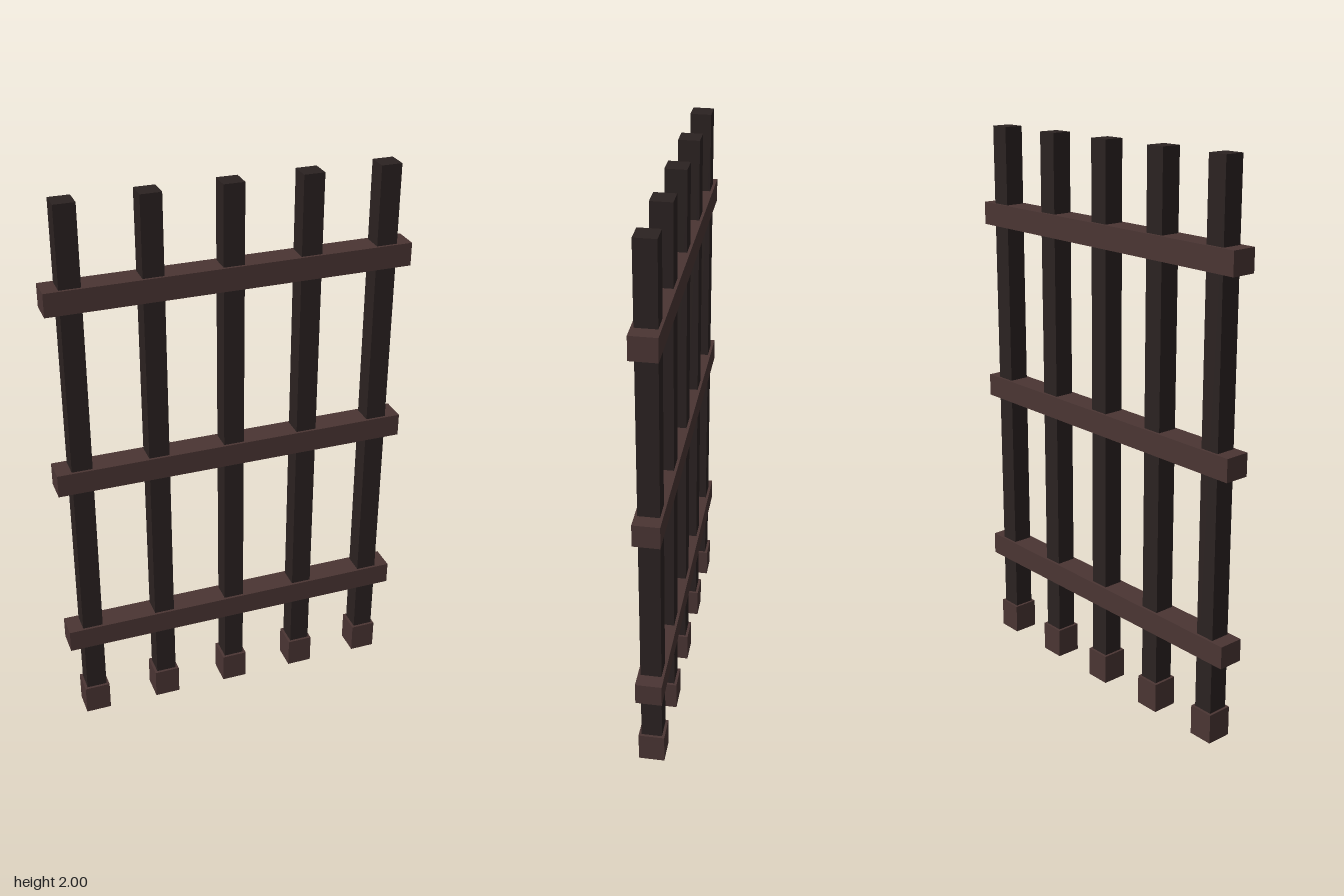
import * as THREE from 'three';

const barMaterial = new THREE.MeshStandardMaterial({ color: 0x2b2221 });
barMaterial.name = 'dark iron';
const railMaterial = new THREE.MeshStandardMaterial({ color: 0x4a3533 });
railMaterial.name = 'rusty brown iron';

// Box centred on x and z, spanning y0 to y1
function addBox(parent, name, material, width, depth, y0, y1, x = 0) {
  const mesh = new THREE.Mesh(new THREE.BoxGeometry(width, y1 - y0, depth), material);
  mesh.name = name;
  mesh.position.set(x, (y0 + y1) / 2, 0);
  parent.add(mesh);
}

export function createModel() {
  const gate = new THREE.Group();
  gate.name = 'barredGate';

  // Upright bars, each with a block-shaped foot; the bar end just shows underneath
  for (let i = -2; i <= 2; i++) {
    const x = i * 0.273;
    addBox(gate, 'uprightBar', barMaterial, 0.073, 0.073, 0, 2, x);
    addBox(gate, 'barFoot', railMaterial, 0.092, 0.092, 0.001, 0.11, x);
  }

  // Horizontal rails that enclose the bars
  for (const y of [0.348, 1.015, 1.68]) {
    addBox(gate, 'crossRail', railMaterial, 1.27, 0.092, y - 0.041, y + 0.041);
  }
  return gate;
}
